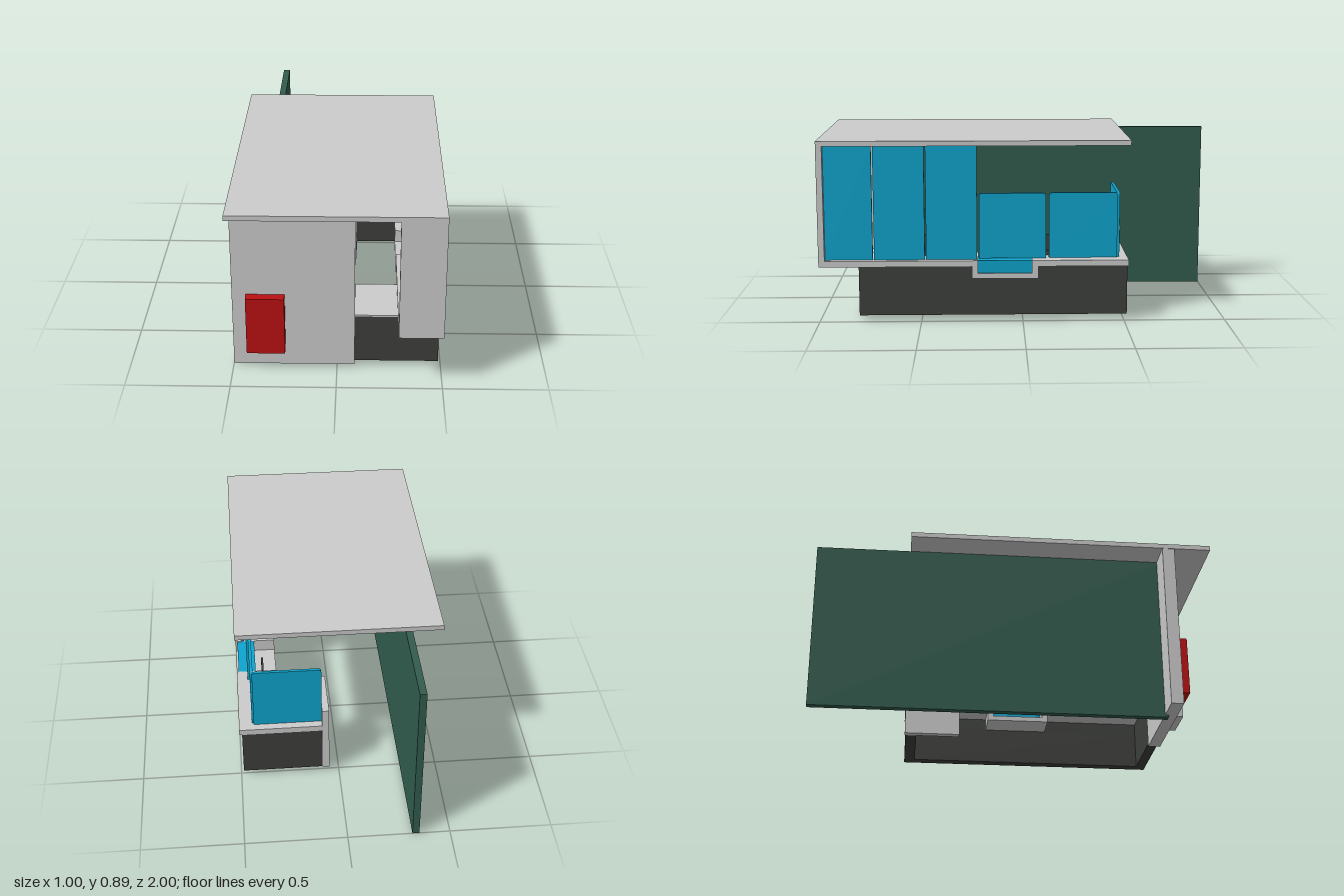
import * as THREE from 'three';

const mat = (color) => new THREE.MeshStandardMaterial({ color });

export function createModel() {
  const model = new THREE.Group();
  const grey = mat(0xcccccc), blue = mat(0x0fa5ce), green = mat(0x325c4e);
  const dark = mat(0x3e403c), red = mat(0xbb1012), brass = mat(0x6b6230);

  const add = (name, geometry, material) => {
    const mesh = new THREE.Mesh(geometry, material);
    mesh.name = name;
    model.add(mesh);
    return mesh;
  };
  // Box given by its limits on each axis
  const box = (name, [x0, x1], [y0, y1], [z0, z1], material) => {
    const mesh = add(name, new THREE.BoxGeometry(x1 - x0, y1 - y0, z1 - z0), material);
    mesh.position.set((x0 + x1) / 2, (y0 + y1) / 2, (z0 + z1) / 2);
    return mesh;
  };
  // Upright screen with rounded top corners, drawn in the xy plane
  const screenGeometry = (width, height, radius, depth) => {
    const w = width / 2, s = new THREE.Shape();
    s.moveTo(-w, 0).lineTo(w, 0).lineTo(w, height - radius);
    s.quadraticCurveTo(w, height, w - radius, height);
    s.lineTo(-w + radius, height);
    s.quadraticCurveTo(-w, height, -w, height - radius);
    return new THREE.ExtrudeGeometry(s, { depth, bevelEnabled: false, curveSegments: 5 });
  };

  // Roof and walls
  box('roof', [-0.5, 0.5], [0.87, 0.895], [-0.525, 1], grey);
  box('backWall', [-0.35, -0.316], [0, 0.87], [-1, 0.77], green);
  box('frontWall', [-0.497, 0.085], [0.013, 0.87], [0.753, 0.815], grey);
  box('wallCabinet', [-0.43, -0.247], [0.1, 0.395], [0.815, 0.865], red);

  // Hollow counter base
  box('counterFront', [0.085, 0.487], [0.03, 0.273], [0.755, 0.805], dark);
  box('counterBack', [0.085, 0.487], [0.03, 0.275], [-0.515, -0.46], dark);
  box('counterSideLower', [0.437, 0.487], [0.03, 0.215], [-0.46, 0.755], dark);
  box('counterSideUpperFront', [0.437, 0.487], [0.215, 0.275], [0.25, 0.755], dark);
  box('counterSideUpperBack', [0.437, 0.487], [0.215, 0.275], [-0.46, -0.075], dark);
  box('counterEnd', [0.05, 0.085], [0.03, 0.4], [-0.52, -0.24], grey);

  // Side shelf with a lowered hatch and the front pillar, as one profile
  const profile = [
    [1, 0.275], [0.25, 0.275], [0.25, 0.215], [-0.075, 0.215], [-0.075, 0.275], [-0.52, 0.275],
    [-0.52, 0.305], [-0.045, 0.305], [-0.045, 0.24], [0.22, 0.24], [0.22, 0.305],
    [0.97, 0.305], [0.97, 0.87], [1, 0.87],
  ];
  const frame = add('sideShelfAndPillar', new THREE.ExtrudeGeometry(
    new THREE.Shape(profile.map(([z, y]) => new THREE.Vector2(-z, y))),
    { depth: 0.21, bevelEnabled: false }), grey);
  frame.rotation.y = Math.PI / 2;
  frame.position.x = 0.29;
  box('hatchTray', [0.4, 0.49], [0.24, 0.303], [-0.045, 0.22], blue);

  // Worktops behind the front and back of the counter
  box('frontWorktop', [0.085, 0.29], [0.273, 0.281], [0.5, 0.805], grey);
  box('backWorktop', [0.085, 0.29], [0.275, 0.305], [-0.52, -0.3], grey);

  // Blue screens along the side: three tall, two short
  const sideScreens = [
    [0.97, 0.737, 0.87, 0.455], [0.73, 0.482, 0.87, 0.455], [0.475, 0.225, 0.87, 0.455],
    [0.215, -0.115, 0.63, 0.43], [-0.13, -0.468, 0.63, 0.42],
  ];
  for (const [z1, z0, top, x] of sideScreens) {
    const screen = add(top > 0.7 ? 'tallScreen' : 'shortScreen',
      screenGeometry(z1 - z0, top - 0.305, top > 0.7 ? 0.004 : 0.018, 0.015), blue);
    screen.rotation.y = Math.PI / 2;
    screen.position.set(x, 0.305, (z0 + z1) / 2);
  }
  const backScreen = add('backScreen', screenGeometry(0.341, 0.325, 0.018, 0.015), blue);
  backScreen.position.set(0.2555, 0.305, -0.48);

  // Small displays on the worktop
  for (const z of [0.48, -0.13]) {
    box('display', [0.36, 0.37], [0.33, 0.41], [z - 0.06, z + 0.06], dark);
    box('displayStand', [0.35, 0.38], [0.305, 0.33], [z - 0.02, z + 0.02], dark);
  }

  // Ceiling lights, shallow domes
  for (const x of [0.237, -0.05]) {
    for (const z of [-0.31, -0.05, 0.21, 0.47]) {
      const lamp = add('ceilingLight',
        new THREE.SphereGeometry(0.024, 16, 6, 0, Math.PI * 2, Math.PI / 2, Math.PI / 2), brass);
      lamp.scale.y = 0.4;
      lamp.position.set(x, 0.87, z);
    }
  }
  return model;
}
